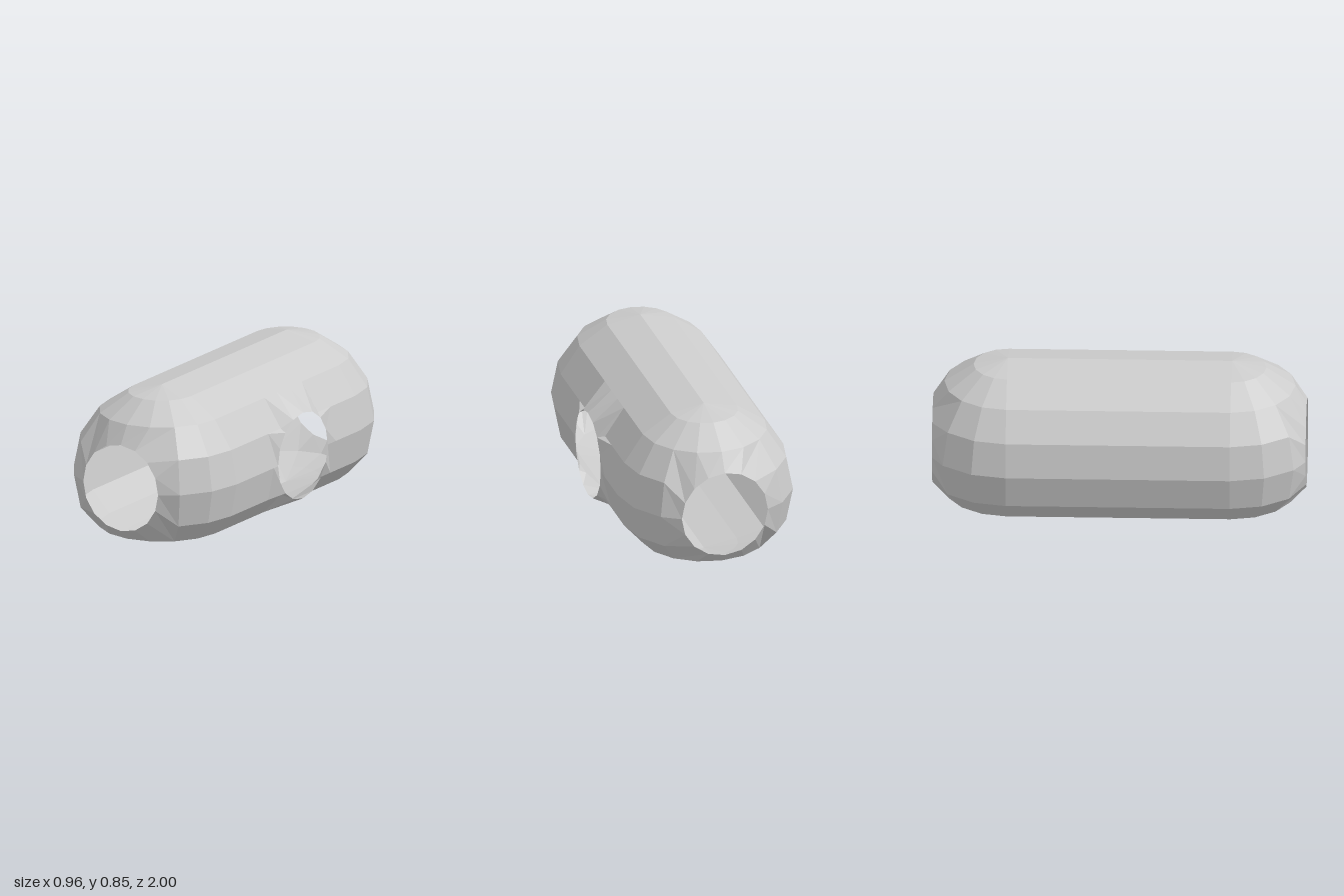
import * as THREE from 'three';

const R = 0.48, HOLE = 0.24, MID = 0.368, HALF = 0.6, STEP = Math.PI / 8;
// Heights of the nine levels, top to bottom: round above, flattened below
const levelY = [0.848, 0.811, 0.707, 0.553, MID, 0.184, 0.07, 0.032, 0];
const levelR = levelY.map((_, j) => R * Math.sin(j * STEP));

const material = new THREE.MeshStandardMaterial({
  color: 0xcccccc, flatShading: true, side: THREE.DoubleSide,
});

// Collects quads (corners counter-clockwise from outside) into a flat-shaded mesh
function surface(name, build) {
  const pos = [];
  const tri = (a, b, c) => {
    const same = (p, q) => p.every((v, i) => Math.abs(v - q[i]) < 1e-6);
    if (!same(a, b) && !same(b, c) && !same(a, c)) pos.push(...a, ...b, ...c);
  };
  build((a, b, c, d) => { tri(a, b, c); tri(a, c, d); });
  const geo = new THREE.BufferGeometry();
  geo.setAttribute('position', new THREE.Float32BufferAttribute(pos, 3));
  geo.computeVertexNormals();
  const mesh = new THREE.Mesh(geo, material);
  mesh.name = name;
  return mesh;
}

// Long wall, leaving out the cells around the side opening
function tunnelWall() {
  const zs = [HALF, 0.24, 0.12, -0.24, -0.36, -HALF];
  const at = (side, j, z) => [side * levelR[j], levelY[j], z];
  return surface('tunnelWall', (quad) => {
    for (let j = 0; j < 8; j++) {
      for (let s = 0; s < 5; s++) {
        const [f, b] = [zs[s], zs[s + 1]];
        quad(at(-1, j, b), at(-1, j + 1, b), at(-1, j + 1, f), at(-1, j, f));
        const nearMiddle = (j === 3 || j === 4) && s >= 1 && s <= 3;
        const nearRim = (j === 2 || j === 5) && s === 2;
        if (nearMiddle || nearRim) continue;
        quad(at(1, j + 1, f), at(1, j + 1, b), at(1, j, b), at(1, j, f));
      }
    }
  });
}

// Half-sphere end with upright poles and a round opening cut at z = 1
function endCap(name) {
  const at = (j, i) => [
    levelR[j] * Math.cos(i * STEP), levelY[j], HALF + levelR[j] * Math.sin(i * STEP),
  ];
  // [level, longitude] of the sixteen points around the opening
  const loop = [
    [4, 2], [3, 2], [2, 2], [2, 3], [2, 4], [2, 5], [2, 6], [3, 6],
    [4, 6], [5, 6], [6, 6], [6, 5], [6, 4], [6, 3], [6, 2], [5, 2],
  ].map(([j, i]) => at(j, i));
  const rim = (k) => [HOLE * Math.cos(k * STEP), MID + HOLE * Math.sin(k * STEP), 1];
  return surface(name, (quad) => {
    for (let j = 0; j < 8; j++) {
      for (let i = 0; i < 8; i++) {
        if (j >= 2 && j < 6 && i >= 2 && i < 6) continue;
        quad(at(j, i), at(j, i + 1), at(j + 1, i + 1), at(j + 1, i));
      }
    }
    for (let k = 0; k < 16; k++) quad(loop[k], loop[(k + 1) % 16], rim(k + 1), rim(k));
  });
}

// Flared collar joining the wall to the round side opening at x = 0.48
function sideOpening() {
  // [z, level, rim point] over the top half, from front to back
  const pairs = [
    [0.24, 4, 0], [0.24, 3, 1], [0.24, 3, 2], [0.12, 3, 2], [0.12, 3, 3], [0.12, 2, 3],
    [0, 2, 4], [-0.12, 2, 5], [-0.24, 2, 6], [-0.24, 3, 6], [-0.36, 3, 7], [-0.36, 4, 8],
  ];
  return surface('sideOpening', (quad) => {
    for (const up of [true, false]) {
      const outer = ([z, j]) => {
        const level = up ? j : 8 - j;
        return [levelR[level], levelY[level], z];
      };
      const rim = ([, , k]) => [
        R, MID + (up ? 1 : -1) * HOLE * Math.sin(k * STEP), -0.04 + HOLE * Math.cos(k * STEP),
      ];
      for (let n = 0; n < pairs.length - 1; n++) {
        const [p, q] = [pairs[n], pairs[n + 1]];
        if (up) quad(rim(p), rim(q), outer(q), outer(p));
        else quad(outer(p), outer(q), rim(q), rim(p));
      }
    }
  });
}

export function createModel() {
  const group = new THREE.Group();
  group.name = 'tunnelShell';
  const back = endCap('backEnd');
  back.rotation.y = Math.PI;
  group.add(tunnelWall(), endCap('frontEnd'), back, sideOpening());
  return group;
}
